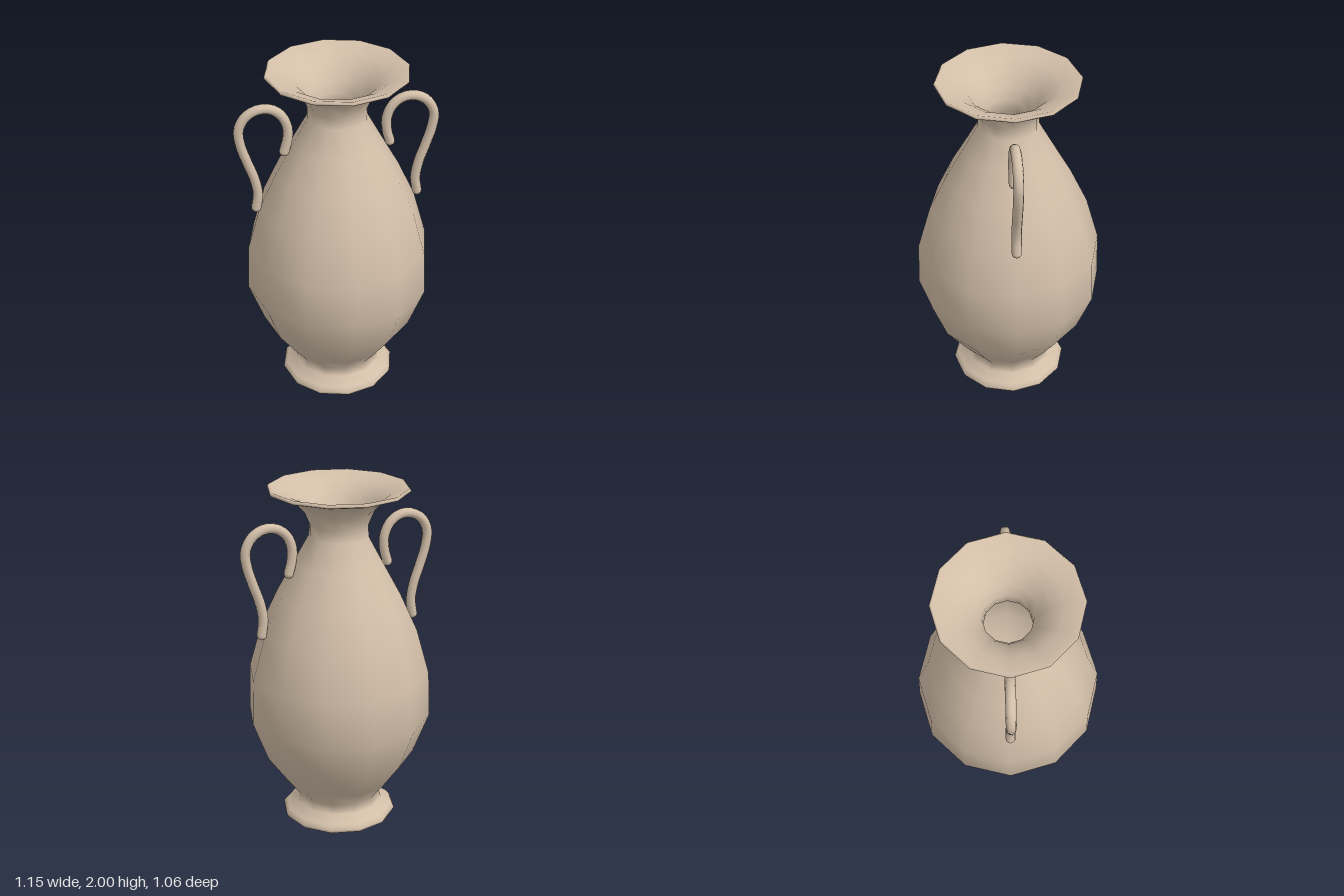
import * as THREE from 'three';

const SIDES = 12;

export function createModel() {
  const group = new THREE.Group();
  group.name = 'amphora';
  const clay = new THREE.MeshStandardMaterial({ color: 0xd3bfa9 });
  clay.name = 'paleClay';

  const add = (parent, name, geometry) => {
    const mesh = new THREE.Mesh(geometry, clay);
    mesh.name = name;
    parent.add(mesh);
    return mesh;
  };
  const lathe = (points) =>
    new THREE.LatheGeometry(points.map(([r, y]) => new THREE.Vector2(r, y)), SIDES);

  // Outer wall from foot to rim
  const outer = [
    [0.3, 0], [0.325, 0.015], [0.333, 0.035], [0.312, 0.06], [0.255, 0.1], [0.24, 0.15],
    [0.315, 0.245], [0.44, 0.42], [0.53, 0.66], [0.52, 0.92], [0.447, 1.18], [0.35, 1.39],
    [0.25, 1.57], [0.168, 1.72], [0.166, 1.79], [0.2, 1.87], [0.265, 1.94], [0.365, 1.97],
    [0.394, 1.98], [0.398, 1.99], [0.388, 2],
  ];
  // Inner wall from rim to floor
  const inner = [
    [0.388, 2], [0.29, 1.965], [0.22, 1.92], [0.165, 1.85], [0.135, 1.79], [0.13, 1.72],
    [0.215, 1.56], [0.315, 1.38], [0.41, 1.17], [0.48, 0.91], [0.49, 0.67],
    [0.4, 0.44], [0.28, 0.27], [0.21, 0.2],
  ];
  add(group, 'vaseBody', lathe([...outer, ...inner.slice(1)]));
  add(group, 'innerFloor', lathe([[0.21, 0.2], [0, 0.2]]));
  add(group, 'footUnderside', lathe([[0, 0], [0.3, 0]]));

  // Curled handles with rounded ends
  const path = [
    [0.298, 1.535], [0.28, 1.6], [0.277, 1.68], [0.308, 1.755], [0.365, 1.798], [0.435, 1.803],
    [0.505, 1.766], [0.545, 1.69], [0.538, 1.6], [0.505, 1.49], [0.468, 1.38],
    [0.452, 1.28], [0.464, 1.195],
  ].map(([x, y]) => new THREE.Vector3(x, y, 0));
  const radius = 0.028;
  const tube = new THREE.TubeGeometry(new THREE.CatmullRomCurve3(path), 36, radius, 10);
  const cap = new THREE.SphereGeometry(radius, 10, 8);
  for (const side of ['left', 'right']) {
    const handle = new THREE.Group();
    handle.name = side + 'Handle';
    add(handle, 'handleLoop', tube);
    for (const end of [path[0], path[path.length - 1]]) {
      add(handle, 'handleEnd', cap).position.copy(end);
    }
    if (side === 'right') handle.rotation.y = Math.PI;
    group.add(handle);
  }

  // Slight turn about the upright axis
  group.rotation.y = -0.035;
  return group;
}
